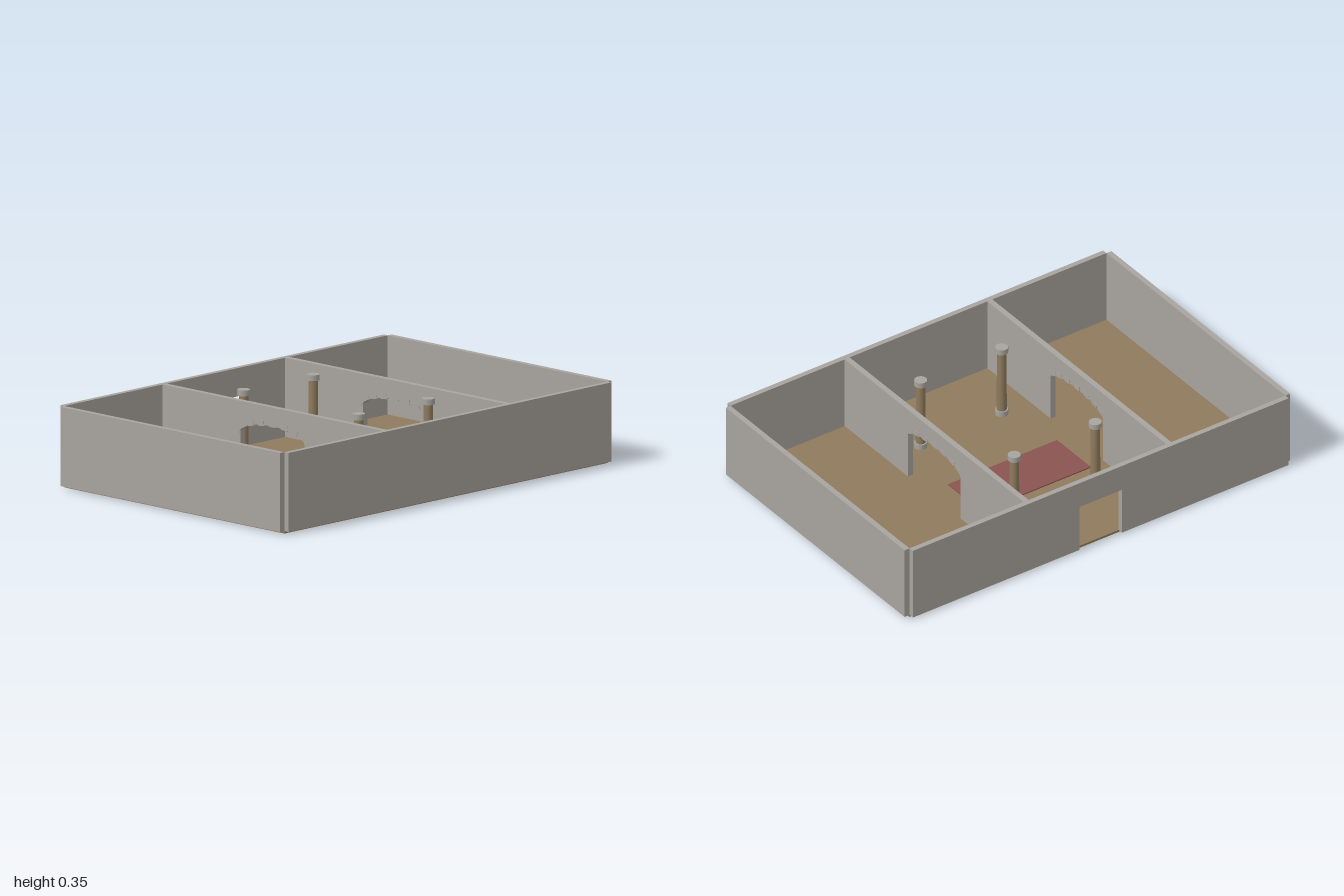
import * as THREE from 'three';

export function createModel() {
  const root = new THREE.Group();
  root.name = 'roofless hall';

  const mat = (name, color) => Object.assign(new THREE.MeshStandardMaterial({ color }), { name });
  const stone = mat('grey stone', 0xa8a49e);
  const wood = mat('brown wood', 0x8f7b5d);
  const cloth = mat('dull red cloth', 0x8b5451);

  const add = (name, geometry, material, x = 0, y = 0, z = 0, parent = root) => {
    const mesh = new THREE.Mesh(geometry, material);
    mesh.name = name;
    mesh.position.set(x, y, z);
    parent.add(mesh);
    return mesh;
  };
  const box = (w, h, d) => new THREE.BoxGeometry(w, h, d);

  const FLOOR = 0.01, TOP = 0.352, H = TOP - FLOOR, MID = (TOP + FLOOR) / 2;

  // Floor of long planks laid side by side
  const planks = 16, plankWidth = 1.3 / planks;
  for (let i = 0; i < planks; i++) {
    add('floorPlank', box(1.95, FLOOR, plankWidth), wood, 0, FLOOR / 2, -0.65 + (i + 0.5) * plankWidth);
  }

  // Rug in the middle room
  add('rug', box(0.565, 0.005, 0.245), cloth, 0, FLOOR + 0.0025, -0.083);

  // Outer walls, with notched corners
  add('frontWall', box(1.95, H, 0.024), stone, 0, MID, 0.662);
  for (const s of [-1, 1]) add('sideWall', box(0.025, H, 1.3), stone, s * 0.9875, MID, 0);

  // Back wall with a doorway down to the floor
  const back = new THREE.Shape([
    [-0.975, FLOOR], [-0.11, FLOOR], [-0.11, 0.23], [0.11, 0.23],
    [0.11, FLOOR], [0.975, FLOOR], [0.975, TOP], [-0.975, TOP],
  ].map(([x, y]) => new THREE.Vector2(x, y)));
  add('backWall', new THREE.ExtrudeGeometry(back, { depth: 0.024, bevelEnabled: false }), stone, 0, 0, -0.674);

  // Partition walls with a shallow arched opening
  const HALF = 0.19, SPRING = 0.225, RISE = 0.045;
  const archY = (z) => SPRING + RISE * Math.sqrt(Math.max(0, 1 - (z / HALF) ** 2));
  const partition = new THREE.Shape();
  partition.moveTo(-0.65, FLOOR);
  partition.lineTo(-HALF, FLOOR);
  for (let i = 0; i <= 16; i++) {
    const z = -HALF * Math.cos((i / 16) * Math.PI);
    partition.lineTo(z, archY(z));
  }
  partition.lineTo(HALF, FLOOR);
  partition.lineTo(0.65, FLOOR);
  partition.lineTo(0.65, TOP);
  partition.lineTo(-0.65, TOP);
  const partitionGeo = new THREE.ExtrudeGeometry(partition, { depth: 0.026, bevelEnabled: false });
  partitionGeo.translate(0, 0, -0.013).rotateY(Math.PI / 2);

  for (const s of [-1, 1]) {
    add('partitionWall', partitionGeo, stone, s * 0.37);
    // Arch stones set along the curve
    for (let i = 0; i < 9; i++) {
      const a = ((i + 0.5) / 9) * Math.PI;
      const z = -0.2 * Math.cos(a), y = SPRING + 0.052 * Math.sin(a);
      const block = add('archStone', box(0.029, 0.022, 0.036), stone, s * 0.37, y, z);
      block.rotation.x = -Math.atan2(0.052 * Math.cos(a), 0.2 * Math.sin(a));
    }
  }

  // Columns: wooden shaft between stone base and capital
  const shaft = new THREE.CylinderGeometry(0.02, 0.022, H - 0.05, 12);
  const disc = new THREE.CylinderGeometry(0.028, 0.028, 0.025, 12);
  for (const x of [-0.21, 0.21]) {
    for (const z of [-0.34, 0.34]) {
      const column = new THREE.Group();
      column.name = 'column';
      column.position.set(x, 0, z);
      add('columnShaft', shaft, wood, 0, MID, 0, column);
      add('columnBase', disc, stone, 0, FLOOR + 0.0125, 0, column);
      add('columnCapital', disc, stone, 0, TOP - 0.0125, 0, column);
      root.add(column);
    }
  }
  return root;
}
